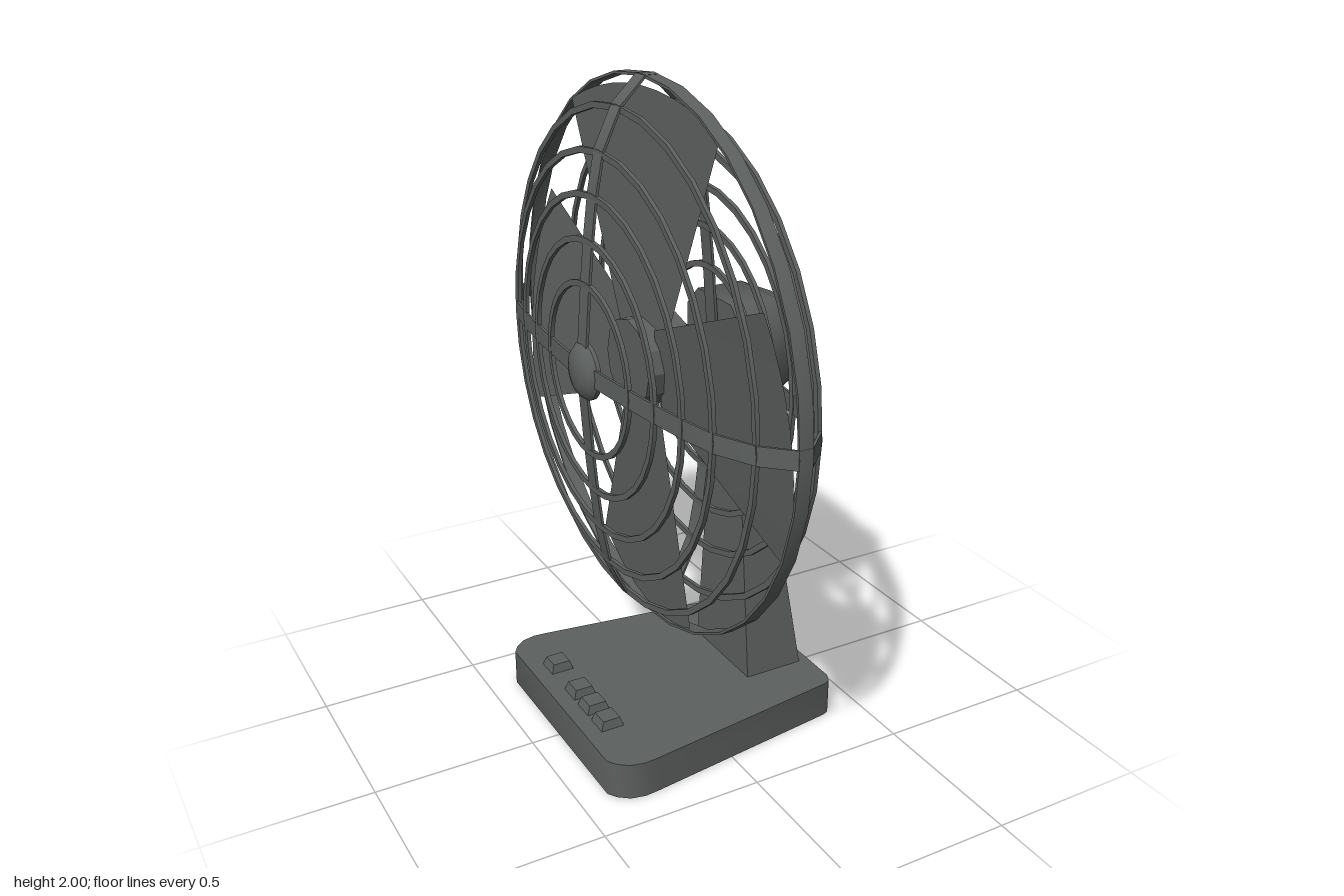
import * as THREE from 'three';
import { toCreasedNormals } from 'three/addons/utils/BufferGeometryUtils.js';

const AXIS_Y = 1.185; // height of the fan axis
const CAGE_X = -0.085; // middle plane of the cage

export function createModel() {
  const fan = new THREE.Group();
  fan.name = 'deskFan';
  const grey = new THREE.MeshStandardMaterial({ color: 0x5c605e, side: THREE.DoubleSide });
  grey.name = 'dark grey';

  const add = (parent, name, geometry, x = 0, y = 0, z = 0) => {
    const mesh = new THREE.Mesh(geometry, grey);
    mesh.name = name;
    mesh.position.set(x, y, z);
    parent.add(mesh);
    return mesh;
  };

  // Lathe turned so that its axis runs along x; points are [radius, x]
  const turned = (points, sides, crease = 0.6) => {
    const g = new THREE.LatheGeometry(points.map(([r, x]) => new THREE.Vector2(r, x)), sides);
    g.rotateZ(-Math.PI / 2);
    return toCreasedNormals(g, crease);
  };

  // Box whose top is replaced by a smaller rectangle; sizes are [x0, x1, halfZ]
  const tapered = (bottom, top, y0, y1) => {
    const g = new THREE.BoxGeometry(1, 1, 1);
    const p = g.attributes.position;
    for (let i = 0; i < p.count; i++) {
      const s = p.getY(i) > 0 ? top : bottom;
      p.setXYZ(i, p.getX(i) > 0 ? s[1] : s[0], p.getY(i) > 0 ? y1 : y0, Math.sign(p.getZ(i)) * s[2]);
    }
    const flat = g.toNonIndexed();
    flat.computeVertexNormals();
    return flat;
  };

  // Base: hollow tray, open below, with rounded corners
  const half = [[-0.41, 0.335], [-0.392, 0.362], [-0.36, 0.387], [-0.315, 0.397], [-0.27, 0.393],
    [0.37, 0.308], [0.39, 0.298], [0.403, 0.27]];
  const outline = [...half, ...half.map(([x, z]) => [x, -z]).reverse()];
  const toPoints = (k) => outline.map(([x, z]) => new THREE.Vector2(x * k, z * k));
  const slab = (shape, y, height) => {
    const g = new THREE.ExtrudeGeometry(shape, { depth: height, bevelEnabled: false });
    g.rotateX(-Math.PI / 2);
    g.translate(0, y, 0);
    return toCreasedNormals(g, 0.6);
  };
  const wall = new THREE.Shape(toPoints(1));
  wall.holes.push(new THREE.Path(toPoints(0.985)));
  add(fan, 'baseWall', slab(wall, 0, 0.11));
  add(fan, 'baseTop', slab(new THREE.Shape(toPoints(1)), 0.11, 0.005));

  // Push buttons
  for (const z of [-0.19, -0.025, 0.07, 0.165]) {
    add(fan, 'button', tapered([-0.36, -0.285, 0.036], [-0.35, -0.295, 0.029], 0.113, 0.143), 0, 0, z);
  }

  // Stand: upright front, sloping back
  add(fan, 'stand', tapered([0.175, 0.37, 0.16], [0.175, 0.24, 0.07], 0.113, 1.05));

  // Motor housing: chamfered square sections [x, half size, chamfer]
  const sections = [[0.13, 0.155, 0.06], [0.28, 0.155, 0.06], [0.405, 0.102, 0.045]];
  const pos = [];
  const index = [];
  for (const [x, h, c] of sections) {
    const k = h - c;
    for (const [y, z] of [[h, -k], [h, k], [k, h], [-k, h], [-h, k], [-h, -k], [-k, -h], [k, -h]]) {
      pos.push(x, y, z);
    }
  }
  for (let s = 0; s < 2; s++) {
    for (let i = 0; i < 8; i++) {
      const a = s * 8 + i;
      const b = s * 8 + (i + 1) % 8;
      index.push(a, b, a + 8, b, b + 8, a + 8);
    }
  }
  for (let i = 1; i < 7; i++) index.push(0, i + 1, i, 16, 16 + i, 17 + i);
  const housing = new THREE.BufferGeometry();
  housing.setAttribute('position', new THREE.Float32BufferAttribute(pos, 3));
  housing.setIndex(index);
  add(fan, 'motorHousing', toCreasedNormals(housing, 0.9), 0, AXIS_Y, 0);

  // Propeller: hub, shaft and four pitched blades
  const propeller = new THREE.Group();
  propeller.name = 'propeller';
  propeller.position.set(0, AXIS_Y, 0);
  fan.add(propeller);
  add(propeller, 'hub', turned([[0, 0], [0.13, 0], [0.13, -0.155], [0, -0.155]].reverse(), 12, 0.4));
  add(propeller, 'shaft', turned([[0.035, -0.01], [0.035, 0.14]], 12));

  const blade = new THREE.PlaneGeometry(1, 1, 10, 4);
  const bp = blade.attributes.position;
  for (let i = 0; i < bp.count; i++) {
    const across = bp.getX(i) * 2; // -1 to 1
    const along = bp.getY(i) + 0.5; // root to tip
    const tip = across * 0.467;
    const y = THREE.MathUtils.lerp(0.09, Math.cos(tip) * 0.782, along);
    const z = THREE.MathUtils.lerp(across * 0.118, Math.sin(tip) * 0.782, along);
    bp.setXYZ(i, -0.105 + across * THREE.MathUtils.lerp(0.012, 0.04, along), y, z);
  }
  blade.computeVertexNormals();
  for (let i = 0; i < 4; i++) add(propeller, 'blade', blade).rotation.x = i * Math.PI / 2;

  // Cage: rim, wire rings, four ribbon spokes and a front cap
  const cage = new THREE.Group();
  cage.name = 'cage';
  cage.position.set(CAGE_X, AXIS_Y, 0);
  fan.add(cage);
  const ring = (r, x, width, depth) => turned([[r, x - depth], [r, x + depth], [r - width, x + depth],
    [r - width, x - depth], [r, x - depth]], 32);
  add(cage, 'rim', ring(0.814, 0, 0.008, 0.021));

  const profile = [[0.02, 0.812], [0.095, 0.738], [0.15, 0.622], [0.173, 0.505], [0.188, 0.382], [0.2, 0.26]];
  for (const [d, r] of profile.slice(1)) {
    for (const side of [-1, 1]) add(cage, 'wireRing', ring(r, side * (d - 0.004), 0.018, 0.006));
  }

  const arc = [...profile, [0.215, 0.06]];
  const outer = [...arc.map(([d, r]) => [-d, r]).reverse(), ...arc];
  const inner = outer.map(([d, r]) => [d * 0.96, r * 0.99]).reverse();
  const ribbon = new THREE.ExtrudeGeometry(
    new THREE.Shape([...outer, ...inner].map(([d, r]) => new THREE.Vector2(d, r))),
    { depth: 0.054, bevelEnabled: false });
  ribbon.translate(0, 0, -0.027);
  const spoke = toCreasedNormals(ribbon, 0.7);
  for (let i = 0; i < 4; i++) add(cage, 'spoke', spoke).rotation.x = i * Math.PI / 2;

  add(cage, 'frontCap', turned([[0, -0.24], [0.04, -0.237], [0.068, -0.227], [0.086, -0.208],
    [0.086, -0.195], [0, -0.195]], 20));
  return fan;
}
